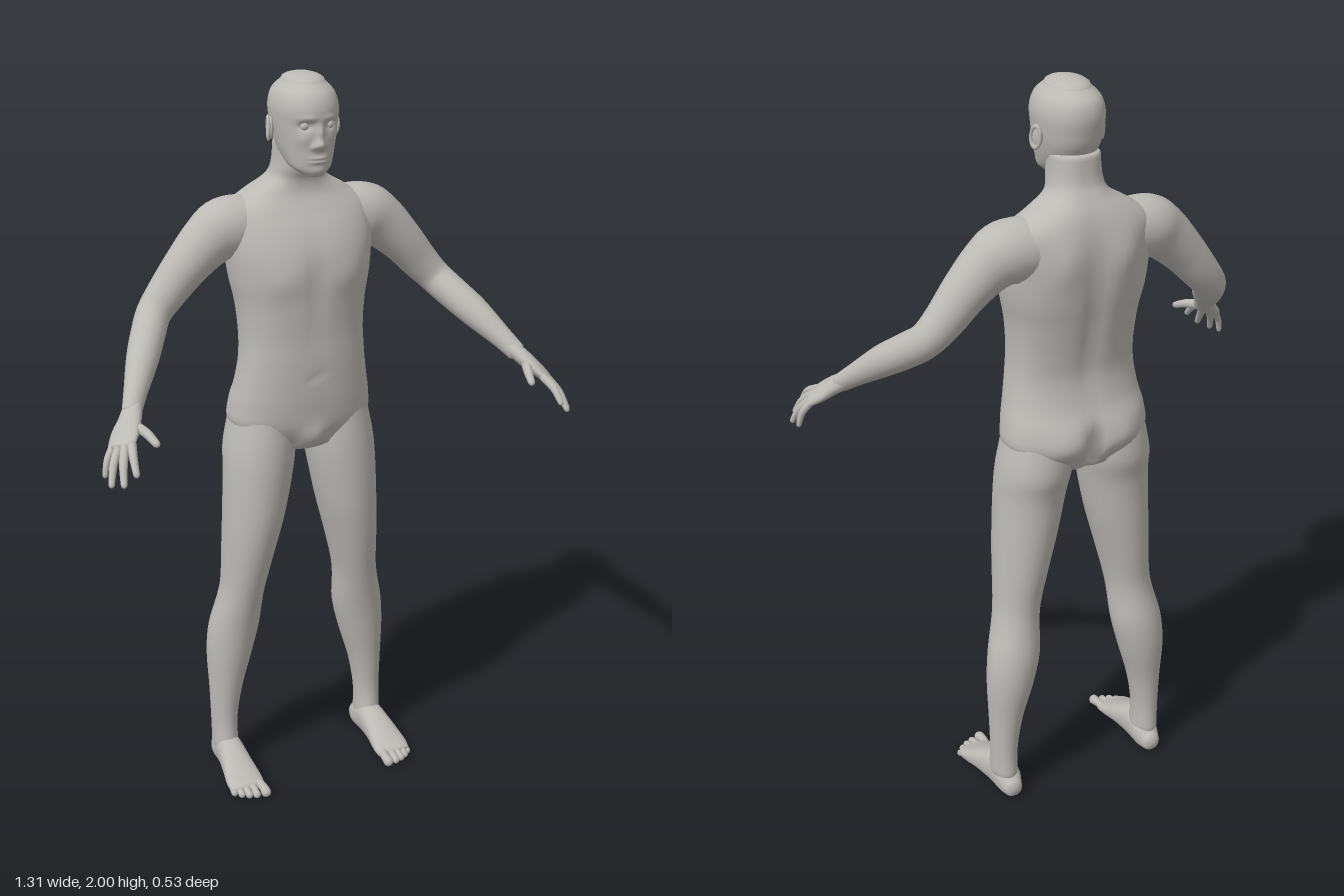
import * as THREE from 'three';

const skin = new THREE.MeshStandardMaterial({ color: 0xbcbab5 });
skin.name = 'paleGrey';

// Catmull-Rom blend of two neighbouring cross-sections
function blend(rings, j, t) {
  const at = k => rings[Math.min(Math.max(k, 0), rings.length - 1)];
  const [p, q, r, s] = [at(j - 1), at(j), at(j + 1), at(j + 2)];
  return q.map((v, k) => v + 0.5 * t * (r[k] - p[k] +
    t * (2 * p[k] - 5 * v + 4 * r[k] - s[k] + t * (3 * (v - r[k]) + s[k] - p[k]))));
}

// Smooth skin through cross-sections [x, y, z, halfWidth, halfDepth], with rounded ends.
// axis fixes the direction of the rings; otherwise they follow the path.
// bumps: [facing, x, y, widthX, widthY, height] soft swellings along z, mirrored in x.
function loft(rings, { ref = [0, 0, 1], axis, seg = 24, steps = 5, caps = [0.01, 0.01], power = 2, bumps = [] } = {}) {
  const list = [];
  for (let j = 0; j < rings.length - 1; j++)
    for (let k = 0; k < steps; k++) list.push(blend(rings, j, k / steps));
  list.push(rings[rings.length - 1]);
  const centre = r => new THREE.Vector3(r[0], r[1], r[2]);
  const last = list.length - 1;
  const sections = list.map((r, i) => ({
    c: centre(r), a: r[3], b: r[4],
    t: axis ? new THREE.Vector3(...axis)
      : centre(list[Math.min(i + 1, last)]).sub(centre(list[Math.max(i - 1, 0)])).normalize()
  }));
  const round = (s, depth, angle) => ({
    c: s.c.clone().addScaledVector(s.t, depth * Math.sin(angle)), t: s.t,
    a: s.a * Math.cos(angle), b: s.b * Math.cos(angle)
  });
  const [first, end] = [sections[0], sections[last]];
  const angles = [0.35, 0.7, 1.05, 1.35];
  const all = [...angles.map(g => round(first, -caps[0], g)).reverse(), ...sections,
    ...angles.map(g => round(end, caps[1], g))];

  const pos = [], index = [], up = new THREE.Vector3(...ref);
  const soft = v => Math.sign(v) * Math.pow(Math.abs(v), 2 / power);
  for (const s of all) {
    const side = new THREE.Vector3().crossVectors(s.t, up).normalize();
    const front = new THREE.Vector3().crossVectors(side, s.t);
    for (let i = 0; i < seg; i++) {
      const g = i / seg * Math.PI * 2;
      const p = s.c.clone().addScaledVector(side, s.a * soft(Math.cos(g)))
        .addScaledVector(front, s.b * soft(Math.sin(g)));
      let push = 0;
      for (const [face, x, y, wx, wy, h] of bumps) {
        const facing = Math.min(1, Math.max(0, 2 * face * Math.sin(g)));
        push += face * h * facing * Math.exp(-(((Math.abs(p.x) - x) / wx) ** 2) - ((p.y - y) / wy) ** 2);
      }
      pos.push(p.x, Math.max(0, p.y), p.z + push);
    }
  }
  const n = all.length;
  for (let j = 0; j < n - 1; j++)
    for (let i = 0; i < seg; i++) {
      const a = j * seg + i, c = j * seg + (i + 1) % seg;
      index.push(a, a + seg, c, a + seg, c + seg, c);
    }
  const tipA = first.c.clone().addScaledVector(first.t, -caps[0]);
  const tipB = end.c.clone().addScaledVector(end.t, caps[1]);
  pos.push(...tipA.toArray(), ...tipB.toArray());
  for (let i = 0; i < seg; i++) {
    const k = (i + 1) % seg, top = (n - 1) * seg;
    index.push(n * seg, i, k, n * seg + 1, top + k, top + i);
  }
  const geo = new THREE.BufferGeometry();
  geo.setAttribute('position', new THREE.Float32BufferAttribute(pos, 3));
  geo.setIndex(index);
  geo.computeVertexNormals();
  return geo;
}

// The same geometry on the other side of the body
function mirrored(geo) {
  const g = geo.clone(), idx = g.index.array;
  g.scale(-1, 1, 1);
  for (let i = 0; i < idx.length; i += 3) [idx[i], idx[i + 1]] = [idx[i + 1], idx[i]];
  g.computeVertexNormals();
  return g;
}

// Upright section from its height, half width, and front and back z
const upright = ([y, a, f, b, x = 0]) => [x, y, (f + b) / 2, a, (f - b) / 2];

export function createModel() {
  const model = new THREE.Group();
  model.name = 'standingFigure';
  const add = (name, geo) => {
    const m = new THREE.Mesh(geo, skin);
    m.name = name;
    model.add(m);
  };
  const addPair = (name, geo) => {
    add('left' + name, geo);
    add('right' + name, mirrored(geo));
  };

  // Torso and neck
  add('torso', loft([
    [1.01, 0.12, -0.035, -0.225], [1.06, 0.195, -0.015, -0.25], [1.12, 0.197, -0.006, -0.25],
    [1.18, 0.185, -0.002, -0.228], [1.25, 0.175, 0, -0.215], [1.32, 0.172, 0, -0.222],
    [1.40, 0.178, 0.004, -0.237], [1.47, 0.192, 0.005, -0.25], [1.54, 0.2, 0, -0.255],
    [1.60, 0.203, -0.022, -0.253], [1.65, 0.195, -0.05, -0.245], [1.69, 0.14, -0.07, -0.232],
    [1.725, 0.083, -0.072, -0.212], [1.76, 0.068, -0.06, -0.195], [1.82, 0.064, -0.055, -0.188]
  ].map(upright), {
    axis: [0, 1, 0], seg: 64, steps: 5, power: 2.35, caps: [0.035, 0.01],
    bumps: [
      [1, 0.09, 1.48, 0.06, 0.045, 0.008], [1, 0, 1.45, 0.018, 0.12, -0.006],   // chest
      [1, 0, 1.03, 0.03, 0.035, 0.018], [1, 0, 1.21, 0.01, 0.01, -0.006],       // groin, navel
      [-1, 0, 1.42, 0.025, 0.2, -0.012], [-1, 0.085, 1.58, 0.045, 0.07, 0.012], // spine, shoulder blades
      [-1, 0.085, 1.075, 0.06, 0.05, 0.016], [-1, 0, 1.06, 0.016, 0.06, -0.03]  // buttocks
    ]
  }));

  // Head with modelled face
  add('head', loft([
    [1.752, 0.03, 0.0, -0.06], [1.77, 0.053, 0.006, -0.105], [1.80, 0.066, 0.01, -0.155],
    [1.84, 0.076, 0.013, -0.186], [1.88, 0.082, 0.017, -0.198], [1.92, 0.084, 0.02, -0.203],
    [1.955, 0.074, 0.007, -0.193], [1.98, 0.052, -0.022, -0.162]
  ].map(upright), {
    axis: [0, 1, 0], seg: 96, steps: 10, power: 2.15, caps: [0.008, 0.02],
    bumps: [
      [1, 0, 1.833, 0.013, 0.013, 0.018], [1, 0, 1.86, 0.009, 0.022, 0.012],      // nose
      [1, 0.016, 1.828, 0.007, 0.007, 0.006],                                     // nostrils
      [1, 0.034, 1.88, 0.017, 0.011, -0.012], [1, 0.03, 1.9, 0.022, 0.007, 0.004],  // sockets, brow
      [1, 0, 1.793, 0.024, 0.009, 0.008], [1, 0, 1.793, 0.024, 0.0025, -0.007],   // lips
      [1, 0, 1.763, 0.022, 0.012, 0.005], [1, 0.042, 1.845, 0.018, 0.016, 0.004]  // chin, cheeks
    ]
  }));
  const eye = new THREE.SphereGeometry(0.012, 20, 14);
  eye.translate(0.034, 1.88, -0.005);
  addPair('Eye', eye);

  // Ears: a shell and a raised rim
  const shell = new THREE.SphereGeometry(1, 20, 14);
  shell.scale(0.008, 0.029, 0.017).rotateX(-0.15).rotateY(0.3).translate(0.086, 1.862, -0.1);
  addPair('EarShell', shell);
  const rim = new THREE.TorusGeometry(0.018, 0.0045, 8, 24);
  rim.rotateY(Math.PI / 2).scale(1, 1.5, 0.9).rotateX(-0.15).rotateY(0.3).translate(0.092, 1.862, -0.102);
  addPair('EarRim', rim);

  // Arms
  addPair('Arm', loft([
    [0.13, 1.605, -0.15, 0.078, 0.078], [0.20, 1.6, -0.147, 0.082, 0.078], [0.25, 1.572, -0.143, 0.072, 0.066],
    [0.31, 1.515, -0.14, 0.06, 0.058], [0.365, 1.452, -0.138, 0.052, 0.05], [0.407, 1.405, -0.125, 0.046, 0.045],
    [0.437, 1.37, -0.085, 0.045, 0.045], [0.478, 1.323, -0.02, 0.042, 0.041],
    [0.522, 1.268, 0.05, 0.031, 0.03], [0.549, 1.232, 0.094, 0.026, 0.023]
  ], { caps: [0.03, 0.012] }));

  // Hands
  addPair('Palm', loft([
    [0.54, 1.243, 0.08, 0.025, 0.021], [0.562, 1.218, 0.115, 0.033, 0.021],
    [0.583, 1.196, 0.14, 0.041, 0.018], [0.602, 1.175, 0.165, 0.04, 0.013]
  ], { ref: [0.57, 0.8, 0.19], caps: [0.01, 0.01] }));
  const fingers = [
    ['Thumb', [0.563, 1.213, 0.122], [0.541, 1.203, 0.172], [0.529, 1.187, 0.212], 0.0125],
    ['IndexFinger', [0.582, 1.183, 0.187], [0.592, 1.163, 0.225], [0.596, 1.134, 0.255], 0.0105],
    ['MiddleFinger', [0.595, 1.178, 0.174], [0.614, 1.146, 0.212], [0.624, 1.107, 0.242], 0.0108],
    ['RingFinger', [0.606, 1.173, 0.158], [0.631, 1.138, 0.187], [0.645, 1.098, 0.209], 0.0102],
    ['LittleFinger', [0.617, 1.169, 0.143], [0.637, 1.14, 0.156], [0.646, 1.106, 0.163], 0.0092]
  ];
  for (const [name, base, mid, tip, r] of fingers)
    addPair(name, loft([[...base, r * 1.1, r * 1.1], [...mid, r, r], [...tip, r * 0.8, r * 0.75]],
      { ref: [0.57, 0.8, 0.19], seg: 12, caps: [r, r] }));

  // Legs
  addPair('Leg', loft([
    [1.10, 0.088, -0.03, -0.235, 0.105], [1.00, 0.098, -0.02, -0.243, 0.116], [0.92, 0.095, -0.018, -0.226, 0.125],
    [0.80, 0.085, -0.022, -0.22, 0.14], [0.70, 0.074, -0.035, -0.213, 0.155], [0.60, 0.064, -0.055, -0.204, 0.169],
    [0.54, 0.064, -0.068, -0.207, 0.178], [0.45, 0.072, -0.084, -0.222, 0.192], [0.36, 0.065, -0.094, -0.222, 0.206],
    [0.25, 0.047, -0.105, -0.207, 0.22], [0.15, 0.037, -0.11, -0.2, 0.227], [0.07, 0.036, -0.1, -0.203, 0.227]
  ].map(upright), { axis: [0, -1, 0], seg: 32, caps: [0.04, 0.02] }));

  // Feet
  addPair('Foot', loft([
    [0.224, 0.034, -0.205, 0.026, 0.028], [0.224, 0.045, -0.175, 0.036, 0.042], [0.226, 0.052, -0.12, 0.038, 0.05],
    [0.229, 0.042, -0.06, 0.044, 0.039], [0.231, 0.026, 0, 0.052, 0.023], [0.23, 0.019, 0.03, 0.05, 0.015]
  ], { ref: [0, 1, 0], axis: [0, 0, 1], power: 2.3, caps: [0.016, 0.012] }));
  const toes = [[0.193, 0.072, 0.0145], [0.219, 0.068, 0.011], [0.239, 0.061, 0.0105], [0.257, 0.05, 0.01], [0.273, 0.034, 0.0095]];
  toes.forEach(([x, z, r], i) => addPair('Toe' + (i + 1), loft([
    [x - (x - 0.23) * 0.15, 0.02, z - 0.055, r, r], [x, 0.021, z - 0.025, r * 0.85, r * 0.85], [x, r + 0.002, z, r, r]
  ], { ref: [0, 1, 0], seg: 12, caps: [r, r] })));

  return model;
}
